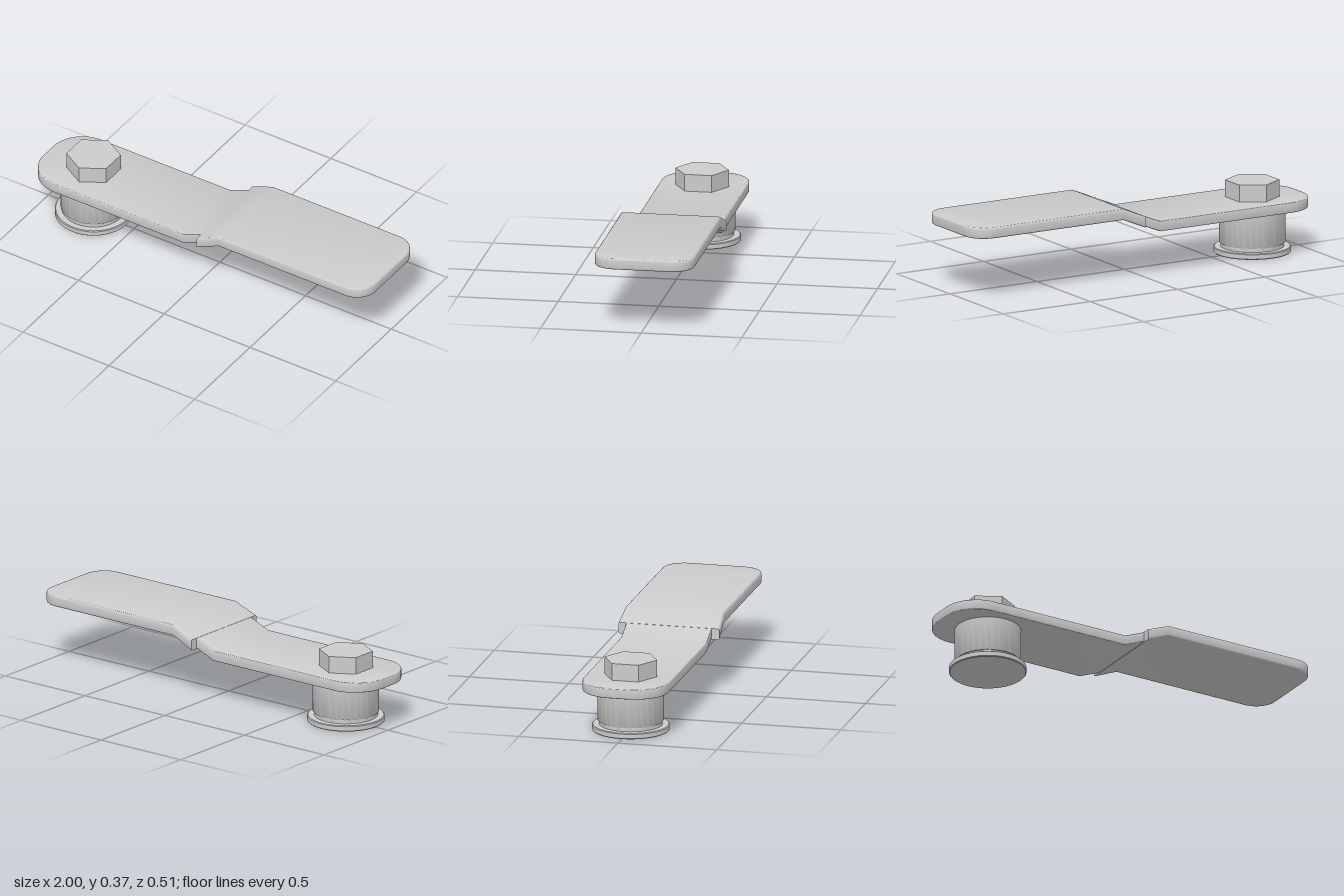
import * as THREE from 'three';
import { toCreasedNormals } from 'three/addons/utils/BufferGeometryUtils.js';

const material = new THREE.MeshStandardMaterial({ color: 0xcccccc });
const BEND = [-0.077, 0.152];

// Half outline of a plate as [x, halfWidth] stations, shrunk by "inset" on its rounded edges
function halfOutline({ x0, x1, r0, r1, mid, width }, inset) {
  const steps = 12, pts = [];
  const corner = (x, r, dir) => {
    if (r === 0) return [[x, width(x) - inset]];
    const rr = r - inset, arc = [];
    for (let i = 0; i <= steps; i++) {
      const a = (i / steps) * Math.PI / 2;
      const px = x + dir * (r - rr * Math.cos(a));
      arc.push([px, width(px) - r + rr * Math.sin(a)]);
    }
    return dir > 0 ? arc : arc.reverse();
  };
  pts.push(...corner(x0, r0, 1));
  for (const x of mid) pts.push([x, width(x) - inset]);
  pts.push(...corner(x1, r1, -1));
  return pts;
}

// Plate with softened edges, following the height rule "rise(x)" along its length
function plate(spec) {
  const { thickness: t, bevel: b, rise } = spec;
  const layers = [];
  for (let i = 0; i <= 3; i++) {
    const a = (i / 3) * Math.PI / 2;
    layers.push([b * (1 - Math.sin(a)), b * (1 - Math.cos(a))]);
  }
  for (let i = 3; i >= 0; i--) layers.push([layers[i][0], t - layers[i][1]]);

  const pos = [], index = [];
  let n = 0;
  for (const [inset, h] of layers) {
    const half = halfOutline(spec, inset);
    const ring = [...half, ...half.slice().reverse().map(([x, z]) => [x, -z])];
    n = ring.length;
    for (const [x, z] of ring) pos.push(x, rise(x) + h, z);
  }
  const quad = (a, c, d, e) => index.push(a, c, d, a, d, e);
  // rim
  for (let l = 0; l < layers.length - 1; l++) {
    for (let i = 0; i < n; i++) {
      const j = (i + 1) % n;
      quad(l * n + i, l * n + j, (l + 1) * n + j, (l + 1) * n + i);
    }
  }
  // top and bottom faces
  const top = (layers.length - 1) * n;
  for (let i = 0; i < n / 2 - 1; i++) {
    const m = n - 1 - i;
    quad(top + i, top + i + 1, top + m - 1, top + m);
    quad(i, m, m - 1, i + 1);
  }
  const geometry = new THREE.BufferGeometry();
  geometry.setAttribute('position', new THREE.Float32BufferAttribute(pos, 3));
  geometry.setIndex(index);
  return toCreasedNormals(geometry, 0.6);
}

// Straight, then sloping between the two bends, then straight again
const bent = (low, high) => (x) =>
  low + (high - low) * THREE.MathUtils.clamp((x - BEND[0]) / (BEND[1] - BEND[0]), 0, 1);

export function createModel() {
  const group = new THREE.Group();
  const add = (name, geometry, x = 0, y = 0) => {
    const mesh = new THREE.Mesh(geometry, material);
    mesh.name = name;
    mesh.position.set(x, y, 0);
    group.add(mesh);
  };

  // Metal arm, ending just inside the grip
  add('arm', plate({
    x0: -1, x1: 0.05, r0: 0.17, r1: 0, mid: [BEND[0]],
    width: () => 0.215, thickness: 0.051, bevel: 0.004, rise: bent(0.224, 0.318),
  }));

  // Wider grip sleeve, flaring slightly at its open end
  add('grip', plate({
    x0: 0.03, x1: 1, r0: 0, r1: 0.11, mid: [BEND[1]],
    width: (x) => 0.248 + 0.007 * THREE.MathUtils.clamp((BEND[1] - x) / 0.122, 0, 1),
    thickness: 0.056, bevel: 0.009, rise: bent(0.219, 0.315),
  }));

  // Round boss with a groove and a base flange
  const profile = [
    [0, 0], [0.186, 0], [0.19, 0.004], [0.19, 0.026], [0.186, 0.03], [0.156, 0.03],
    [0.156, 0.05], [0.161, 0.05], [0.163, 0.053], [0.163, 0.23], [0, 0.23],
  ].map(([x, y]) => new THREE.Vector2(x, y));
  add('boss', toCreasedNormals(new THREE.LatheGeometry(profile, 64), 0.6), -0.736);

  // Hexagonal bolt head
  add('boltHead', toCreasedNormals(new THREE.CylinderGeometry(0.133, 0.133, 0.09, 6), 0.6), -0.736, 0.315);

  return group;
}
